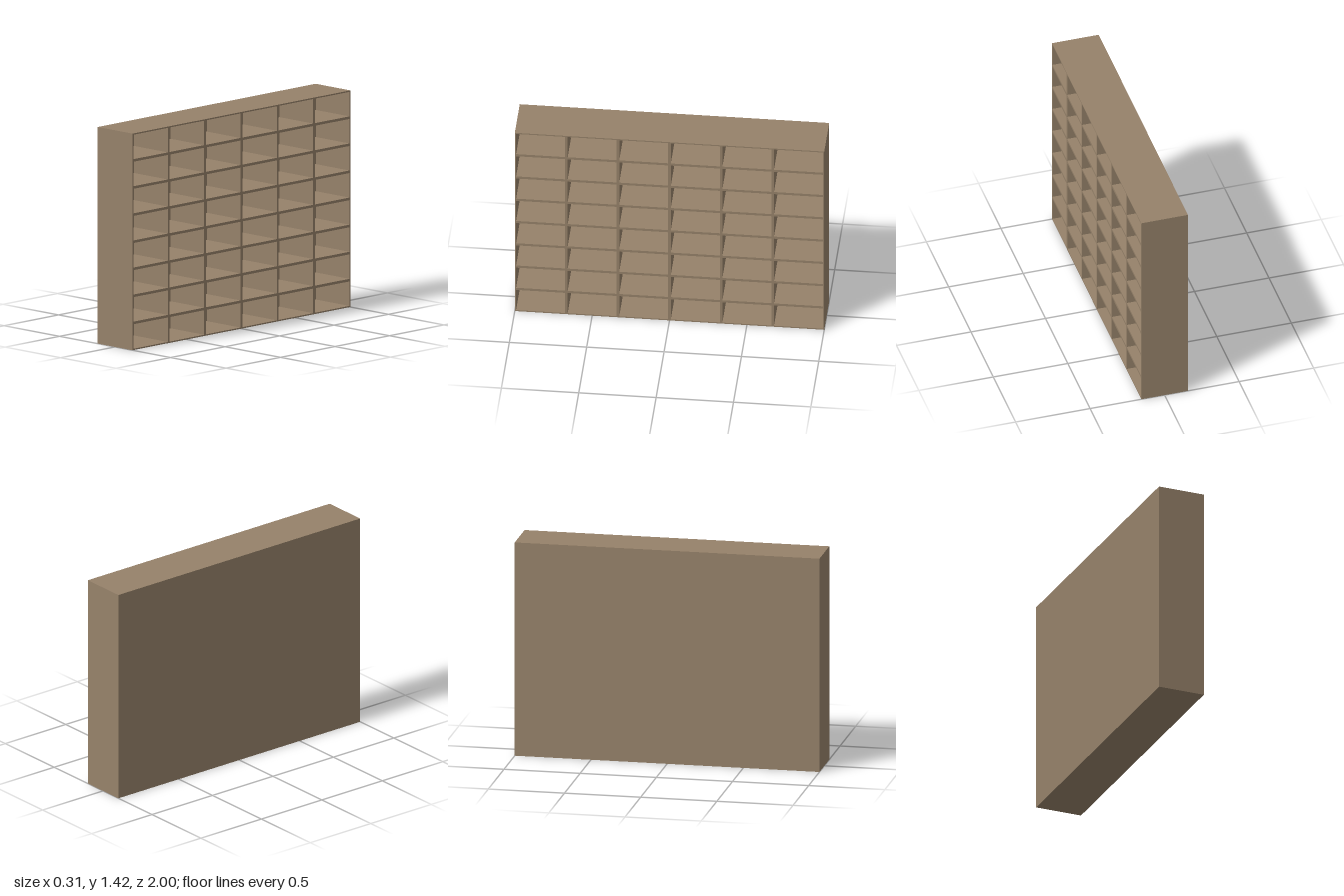
import * as THREE from 'three';

const LENGTH = 2, HEIGHT = 1.42, DEPTH = 0.313;
const COLUMNS = 6, ROWS = 8, WALL = 0.0085, BACK = 0.01;

export function createModel() {
  const group = new THREE.Group();
  group.name = 'pigeonholeShelf';
  const wood = new THREE.MeshStandardMaterial({ color: 0x96826a });
  wood.name = 'brown wood';

  // Rectangle outline from its lower corner and size
  const rect = (path, x, y, w, h) => {
    path.moveTo(x, y);
    path.lineTo(x + w, y);
    path.lineTo(x + w, y + h);
    path.lineTo(x, y + h);
    path.closePath();
    return path;
  };

  // Grid of compartments, open towards +x
  const shape = rect(new THREE.Shape(), -LENGTH / 2, 0, LENGTH, HEIGHT);
  const w = LENGTH / COLUMNS, h = HEIGHT / ROWS;
  for (let c = 0; c < COLUMNS; c++) {
    for (let r = 0; r < ROWS; r++) {
      shape.holes.push(rect(new THREE.Path(),
        -LENGTH / 2 + c * w + WALL, r * h + WALL, w - 2 * WALL, h - 2 * WALL));
    }
  }
  const gridGeometry = new THREE.ExtrudeGeometry(shape, { depth: DEPTH - BACK, bevelEnabled: false });
  gridGeometry.rotateY(Math.PI / 2);
  const grid = new THREE.Mesh(gridGeometry, wood);
  grid.name = 'compartmentGrid';
  grid.position.x = -DEPTH / 2 + BACK;
  group.add(grid);

  // Solid panel closing the -x side
  const panel = new THREE.Mesh(new THREE.BoxGeometry(BACK, HEIGHT, LENGTH), wood);
  panel.name = 'backPanel';
  panel.position.set(-DEPTH / 2 + BACK / 2, HEIGHT / 2, 0);
  group.add(panel);

  return group;
}
